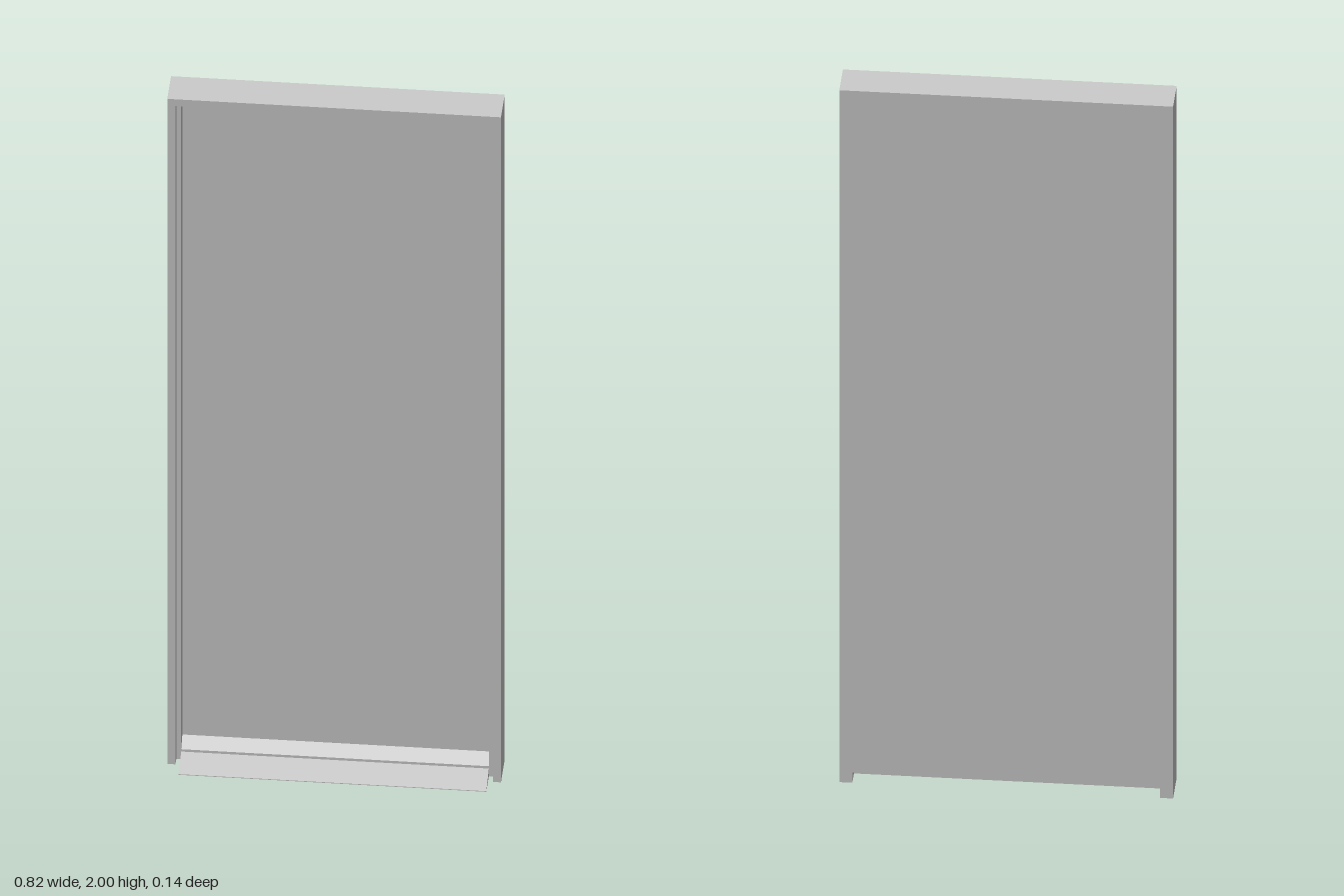
import * as THREE from 'three';

const material = new THREE.MeshStandardMaterial({ color: 0xcccccc, flatShading: true });

const W = 0.41, H = 2;        // outer half width and height
const BACK = -0.07, FRONT = 0.026;
const STEP = 0.003;           // where the rebate meets the stop
const PANEL_FRONT = -0.027;
const STOP_X = 0.378, STOP_Y = 1.968;
const PANEL_BOTTOM = 0.03;

function add(group, name, geometry) {
  const mesh = new THREE.Mesh(geometry, material);
  mesh.name = name;
  group.add(mesh);
  return mesh;
}

// Upside-down U outline: two legs and a head around an opening
function archOutline(innerX, innerY) {
  return new THREE.Shape([
    [-W, 0], [-innerX, 0], [-innerX, innerY], [innerX, innerY],
    [innerX, 0], [W, 0], [W, H], [-W, H],
  ].map(([x, y]) => new THREE.Vector2(x, y)));
}

function slab(shape, z0, z1) {
  const geometry = new THREE.ExtrudeGeometry(shape, { depth: z1 - z0, bevelEnabled: false });
  return geometry.translate(0, 0, z0);
}

export function createModel() {
  const model = new THREE.Group();
  model.name = 'door';

  // Stepped frame: wide opening in front, narrower stop behind it
  const frame = new THREE.Group();
  frame.name = 'frame';
  add(frame, 'frameFront', slab(archOutline(0.39, 1.98), STEP, FRONT));
  add(frame, 'frameStop', slab(archOutline(STOP_X, STOP_Y), PANEL_FRONT, STEP));
  model.add(frame);

  // Door leaf, flush with the frame at the back, with a gap underneath
  add(model, 'doorLeaf', slab(archOutline(STOP_X, PANEL_BOTTOM), BACK, PANEL_FRONT));

  // Threshold: two slopes with a small riser between, run across the opening
  const profile = new THREE.Shape([
    [0.069, 0], [0.069, 0.002], [0.003, 0.023], [0.003, 0.03],
    [PANEL_FRONT, 0.053], [PANEL_FRONT, 0],
  ].map(([z, y]) => new THREE.Vector2(-z, y)));
  const sill = slab(profile, -STOP_X, STOP_X).rotateY(Math.PI / 2);
  add(model, 'threshold', sill);

  return model;
}
